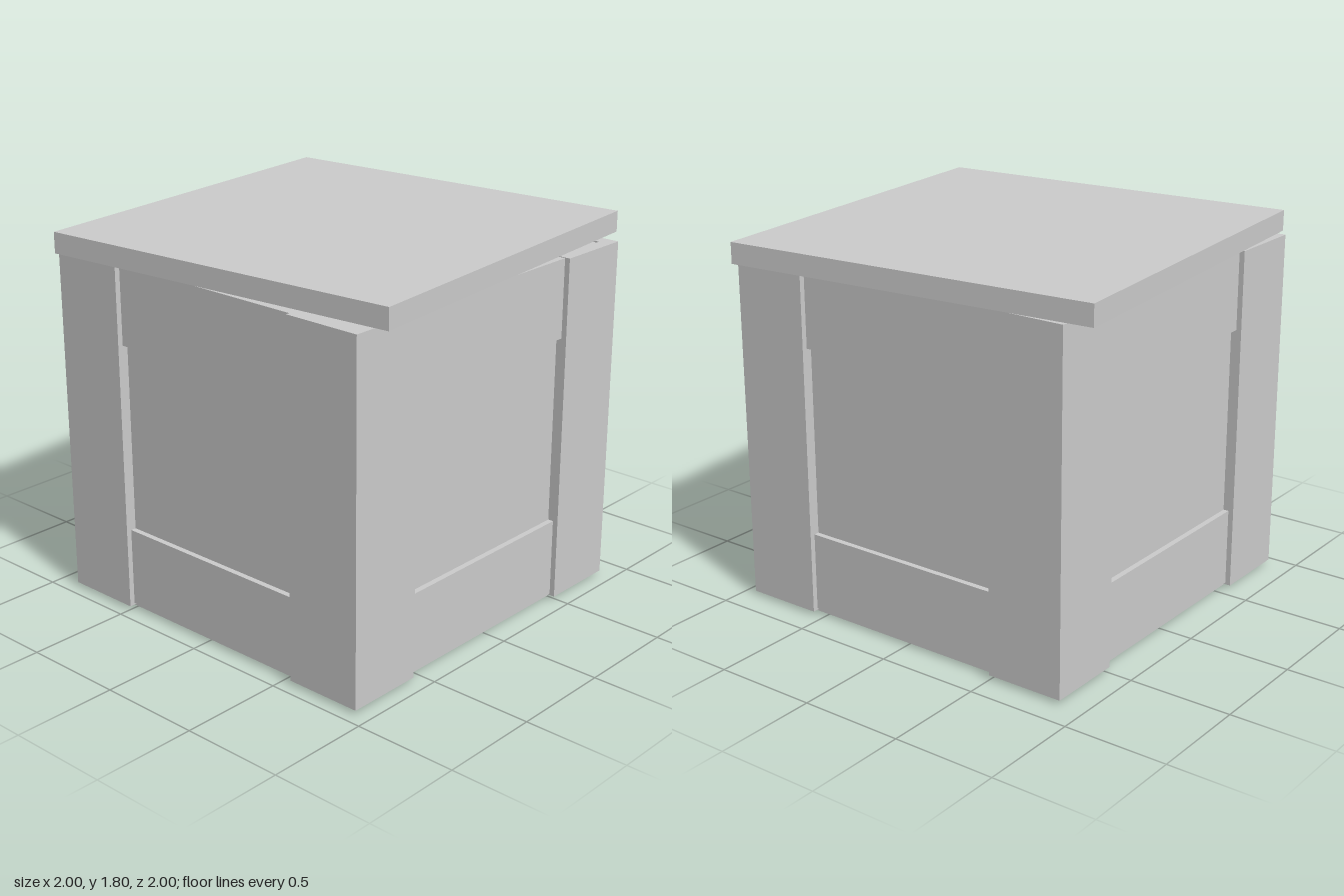
import * as THREE from 'three';

const material = new THREE.MeshStandardMaterial({ color: 0xcccccc, flatShading: true });

function addBox(parent, name, size, position) {
  const mesh = new THREE.Mesh(new THREE.BoxGeometry(...size), material);
  mesh.name = name;
  mesh.position.set(...position);
  parent.add(mesh);
  return mesh;
}

export function createModel() {
  const crate = new THREE.Group();
  crate.name = 'crate';

  const body = new THREE.Group();
  body.name = 'body';
  body.position.set(-0.038, 0, 0.027);
  crate.add(body);

  // Inner box: its walls are the recessed panels
  const core = 0.85;
  addBox(body, 'innerBox', [core * 2, 1.69, core * 2], [0, 0.845, 0]);

  // L-shaped corner boards
  const outer = 0.903, inner = 0.522, wall = 0.84;
  const corner = new THREE.Shape([
    [outer, outer], [inner, outer], [inner, wall],
    [wall, wall], [wall, inner], [outer, inner],
  ].map(([x, y]) => new THREE.Vector2(x, y)));
  const cornerGeometry = new THREE.ExtrudeGeometry(corner, { depth: 1.677, bevelEnabled: false });
  cornerGeometry.rotateX(-Math.PI / 2);

  for (let i = 0; i < 4; i++) {
    const side = new THREE.Group();
    side.name = ['front', 'left', 'back', 'right'][i] + 'Side';
    side.rotation.y = i * Math.PI / 2;
    body.add(side);

    const post = new THREE.Mesh(cornerGeometry, material);
    post.name = 'cornerBoard';
    post.position.y = 0.02;
    side.add(post);

    // Rails, set back from the corner boards
    addBox(side, 'bottomRail', [1.08, 0.38, 0.04], [0, 0.218, 0.857]);
    addBox(side, 'topRail', [1.08, 0.378, 0.04], [0, 1.505, 0.857]);
  }

  // Lid, knocked slightly askew
  const lid = addBox(crate, 'lid', [1.838, 0.1, 1.838], [0, 1.748, 0]);
  lid.rotation.y = 0.0926;

  return crate;
}
